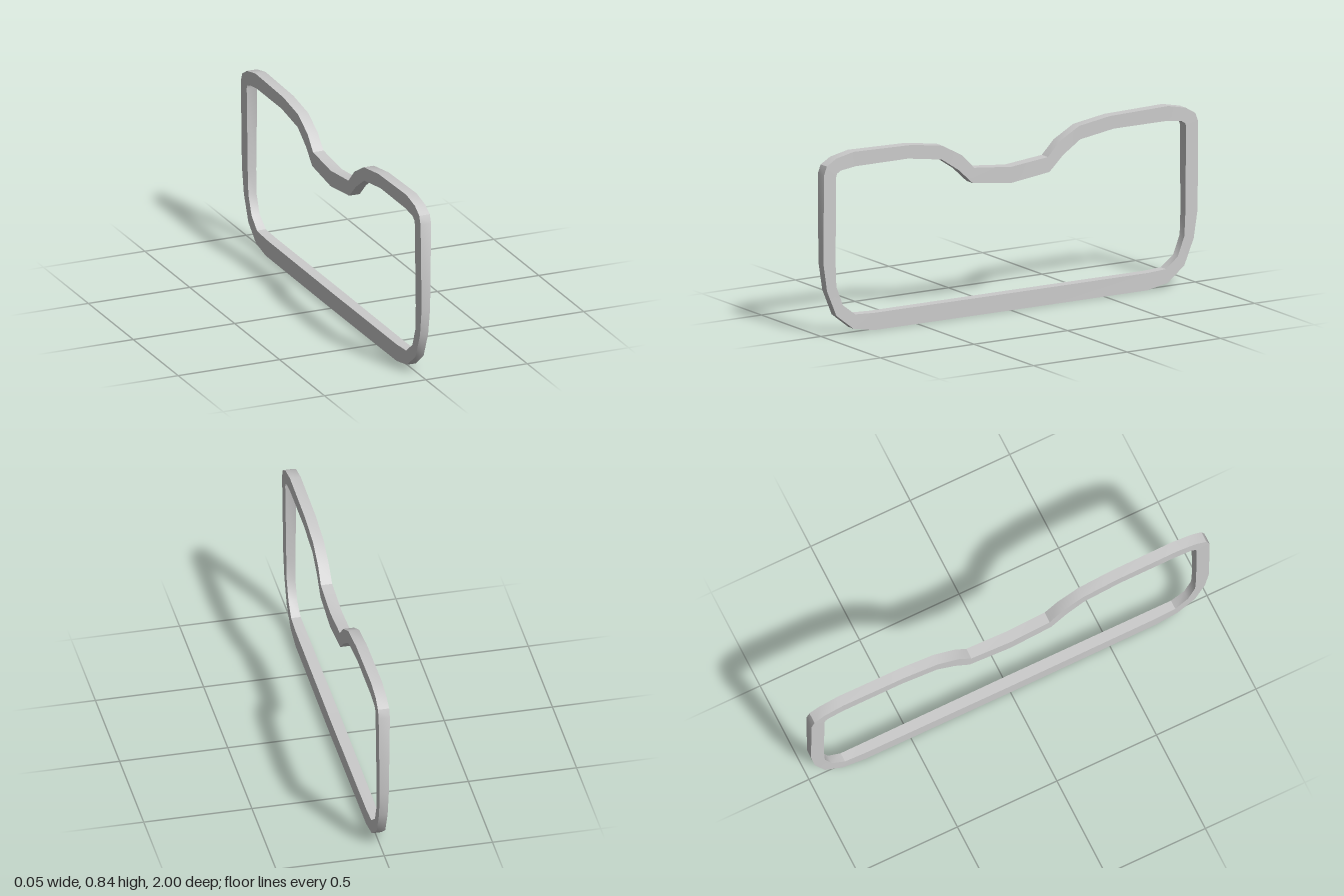
import * as THREE from 'three';
import { toCreasedNormals } from 'three/addons/utils/BufferGeometryUtils.js';

// Stations along half of the frame, bottom centre to top centre:
// [outer z, outer y, inner z, inner y, half thickness in x]
const HALF = [
  [0, 0, 0, 0.08, 0.026],
  [0.73, 0, 0.73, 0.08, 0.024],
  [0.84, 0.02, 0.83, 0.085, 0.022],
  [0.93, 0.09, 0.895, 0.135, 0.02],
  [0.98, 0.21, 0.93, 0.225, 0.02],
  [1.0, 0.34, 0.935, 0.34, 0.021],
  [1.0, 0.75, 0.935, 0.735, 0.026],
  [0.985, 0.79, 0.93, 0.75, 0.026],
  [0.935, 0.82, 0.91, 0.762, 0.025],
  [0.84, 0.84, 0.83, 0.772, 0.025],
  [0.53, 0.833, 0.55, 0.772, 0.025],
  [0.365, 0.808, 0.37, 0.745, 0.025],
  [0.26, 0.75, 0.28, 0.685, 0.025],
  [0.197, 0.685, 0.205, 0.615, 0.026],
  [0, 0.665, 0, 0.59, 0.027],
];

function frameGeometry() {
  // Mirror the half in z to close the loop
  const mirrored = HALF.slice(1, -1).reverse().map(([oz, oy, iz, iy, t]) => [-oz, oy, -iz, iy, t]);
  const stations = [...HALF, ...mirrored];
  const positions = [];
  const index = [];
  stations.forEach(([oz, oy, iz, iy, t], i) => {
    // Rectangular cross-section
    positions.push(t, oy, oz, -t, oy, oz, -t, iy, iz, t, iy, iz);
    const here = i * 4;
    const next = ((i + 1) % stations.length) * 4;
    for (let k = 0; k < 4; k++) {
      const m = (k + 1) % 4;
      index.push(here + k, next + k, next + m, here + k, next + m, here + m);
    }
  });
  const geometry = new THREE.BufferGeometry();
  geometry.setAttribute('position', new THREE.Float32BufferAttribute(positions, 3));
  geometry.setIndex(index);
  return toCreasedNormals(geometry, 0.6);
}

export function createModel() {
  const model = new THREE.Group();
  model.name = 'model';
  const frame = new THREE.Mesh(frameGeometry(), new THREE.MeshStandardMaterial({ color: 0xcccccc }));
  frame.name = 'frame';
  model.add(frame);
  return model;
}
